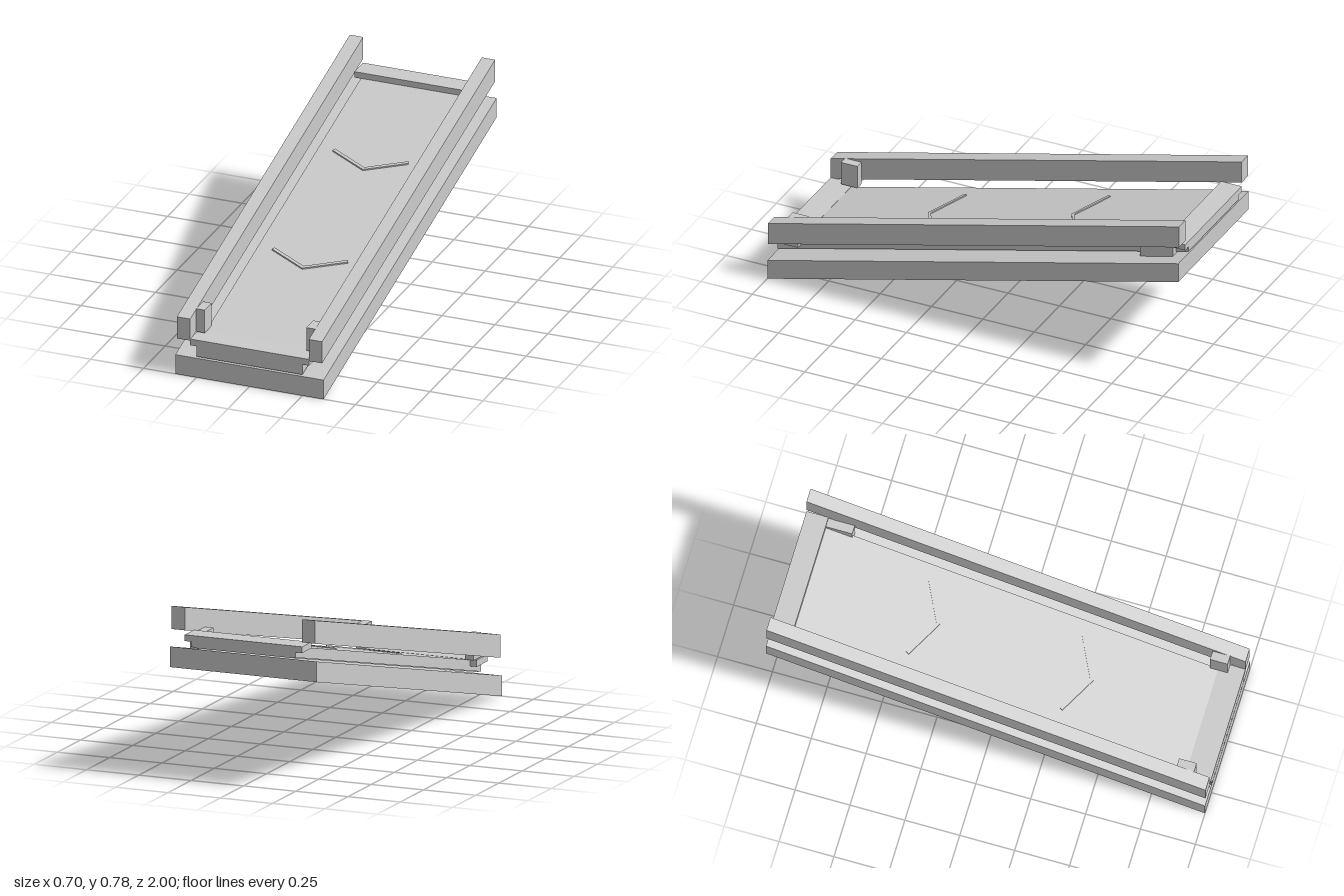
import * as THREE from 'three';

const SLOPE = 0.25;

export function createModel() {
  const model = new THREE.Group();
  const material = new THREE.MeshStandardMaterial({ color: 0xcccccc, flatShading: true });

  function add(name, geometry) {
    const mesh = new THREE.Mesh(geometry, material);
    mesh.name = name;
    model.add(mesh);
  }

  // Lift every vertex along the incline; heights are given at the low front end (z = 1)
  function incline(geometry) {
    const p = geometry.attributes.position;
    for (let i = 0; i < p.count; i++) p.setY(i, p.getY(i) + (1 - p.getZ(i)) * SLOPE);
    geometry.computeVertexNormals();
    return geometry;
  }

  // Box from its minimum and maximum on each axis
  function box(x0, x1, y0, y1, z0, z1) {
    return new THREE.BoxGeometry(x1 - x0, y1 - y0, z1 - z0)
      .translate((x0 + x1) / 2, (y0 + y1) / 2, (z0 + z1) / 2);
  }

  // Sloping slabs: base, thin underlay and belt deck
  add('base', incline(box(-0.35, 0.35, 0, 0.0925, -1, 1)));
  add('deckUnderlay', incline(box(-0.24, 0.24, 0.097, 0.102, -0.995, 0.995)));
  add('deck', incline(box(-0.25, 0.25, 0.101, 0.15, -1, 1)));

  // Side rails and front posts, mirrored
  for (const [side, s] of [['left', 1], ['right', -1]]) {
    const span = (a, b) => (s > 0 ? [a, b] : [-b, -a]);
    add(side + 'Rail', incline(box(...span(0.28, 0.343), 0.172, 0.276, -1, 1)));
    add(side + 'FrontPost', box(...span(0.24, 0.281), 0.186, 0.296, 0.85, 0.93));
  }

  // Single post at the high end
  add('leftBackPost', box(0.24, 0.281, 0.537, 0.64, -0.94, -0.78));

  // Level crossbars at both ends
  add('frontCrossbar', box(-0.281, 0.281, 0.15, 0.18, 0.885, 1));
  add('backCrossbar', box(-0.281, 0.281, 0.624, 0.652, -1, -0.9));

  // Raised chevrons pointing down the slope
  for (const [name, z] of [['upperChevron', -0.31], ['lowerChevron', 0.39]]) {
    const shape = new THREE.Shape([
      [0, 0], [0.18, 0.09], [0.173, 0.103], [0, 0.016], [-0.173, 0.103], [-0.18, 0.09],
    ].map(([x, y]) => new THREE.Vector2(x, y)));
    const chevron = new THREE.ExtrudeGeometry(shape, { depth: 0.007, bevelEnabled: false });
    chevron.rotateX(-Math.PI / 2).translate(0, 0.149, z);
    add(name, incline(chevron));
  }

  return model;
}
